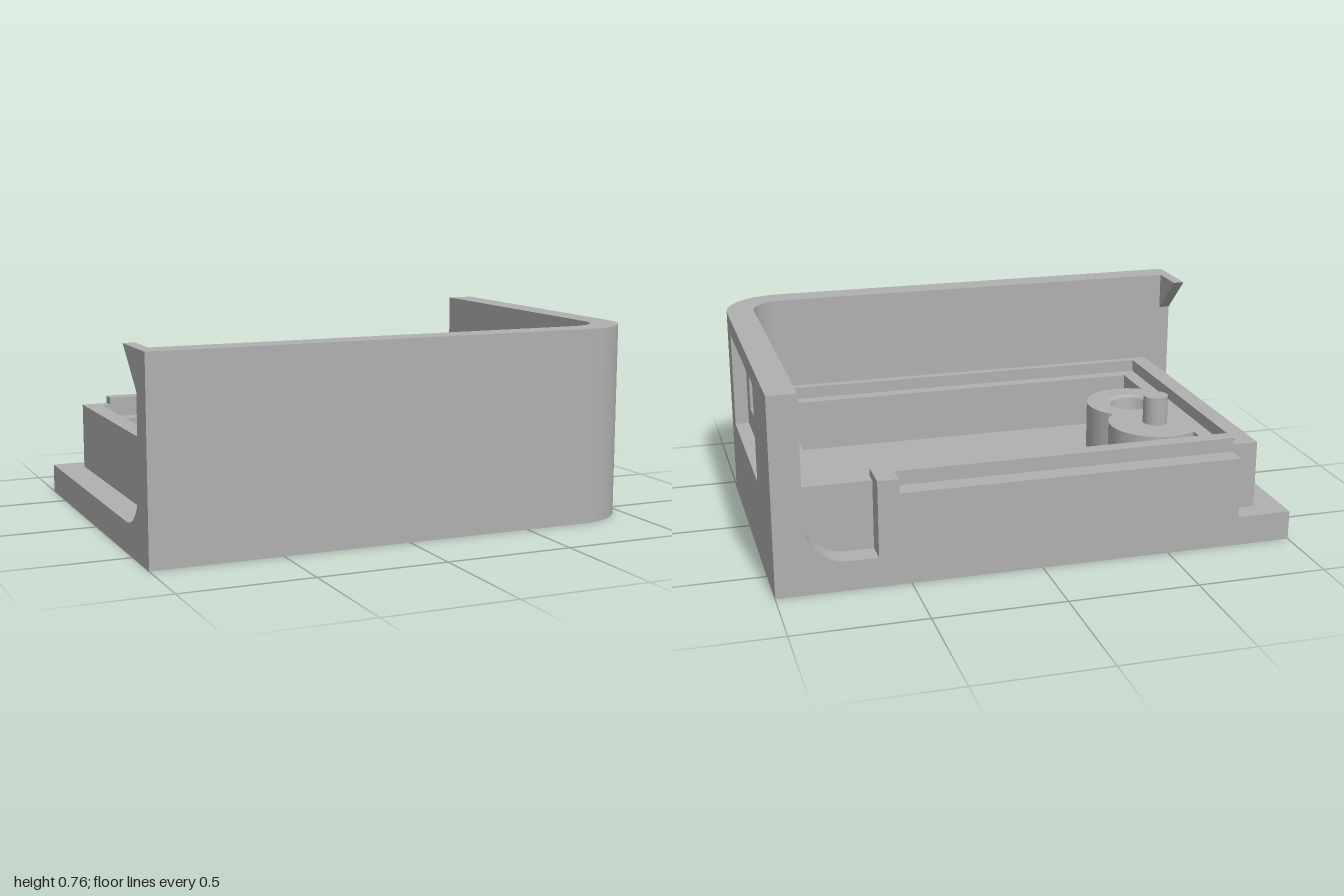
import * as THREE from 'three';
import { toCreasedNormals } from 'three/addons/utils/BufferGeometryUtils.js';

const PI = Math.PI;

export function createModel() {
  const model = new THREE.Group();
  model.name = 'enclosureHalf';
  const grey = new THREE.MeshStandardMaterial({ color: 0xb0b0b0 });
  grey.name = 'grey plastic';

  const add = (name, geo) => {
    const mesh = new THREE.Mesh(geo, grey);
    mesh.name = name;
    model.add(mesh);
    return mesh;
  };
  const extrude = (shape, depth) => toCreasedNormals(
    new THREE.ExtrudeGeometry(shape, { depth, bevelEnabled: false, curveSegments: 32 }), 0.5);
  // Shape in (x, -z), raised from y0 to y1
  const plan = (name, shape, y0, y1) =>
    add(name, extrude(shape, y1 - y0).rotateX(-PI / 2).translate(0, y0, 0));
  // Shape in (-z, y), extruded from x0 to x1
  const side = (name, shape, x0, x1) =>
    add(name, extrude(shape, x1 - x0).rotateY(PI / 2).translate(x0, 0, 0));
  const box = (name, x0, x1, y0, y1, z0, z1) =>
    add(name, new THREE.BoxGeometry(x1 - x0, y1 - y0, z1 - z0)
      .translate((x0 + x1) / 2, (y0 + y1) / 2, (z0 + z1) / 2));
  const rect = (x0, y0, x1, y1) => new THREE.Shape([
    new THREE.Vector2(x0, y0), new THREE.Vector2(x1, y0),
    new THREE.Vector2(x1, y1), new THREE.Vector2(x0, y1)]);

  const floorY = 0.115, stepY = 0.33, rimY = 0.38, top = 0.76;

  // Base plate with one rounded corner
  const base = new THREE.Shape();
  base.moveTo(-1, -0.7).lineTo(0.75, -0.7);
  base.absarc(0.75, -0.45, 0.25, -PI / 2, 0, false);
  base.lineTo(1, 0.7).lineTo(-1, 0.7);
  plan('basePlate', base, 0, floorY);

  // Front wall and rounded corner
  const wall = new THREE.Shape();
  wall.moveTo(-1, -0.7).lineTo(0.75, -0.7);
  wall.absarc(0.75, -0.45, 0.25, -PI / 2, 0, false);
  wall.lineTo(0.89, -0.45);
  wall.absarc(0.75, -0.45, 0.14, 0, -PI / 2, true);
  wall.lineTo(-1, -0.59);
  plan('frontWall', wall, floorY, top);

  // Side wall in two layers: a recess outside, a smaller window inside
  const outer = rect(-0.45, floorY, 0.7, top);
  outer.holes.push(rect(-0.355, 0.31, 0.33, 0.69));
  side('sideWallRecess', outer, 0.945, 1);
  const inner = rect(-0.45, floorY, 0.7, top);
  inner.holes.push(rect(-0.27, 0.4, 0.245, 0.605));
  side('sideWallWindow', inner, 0.89, 0.945);

  // Fillets where the wall ends meet the base
  const r = 0.165;
  const fillet = new THREE.Shape();
  fillet.moveTo(0.89, floorY).lineTo(0.89, floorY + r);
  fillet.absarc(0.89 - r, floorY + r, r, 0, -PI / 2, true);
  add('backFillet', extrude(fillet, 0.1).translate(0, 0, -0.7));
  const fillet2 = new THREE.Shape();
  fillet2.moveTo(-0.59, floorY).lineTo(-0.59, floorY + r);
  fillet2.absarc(-0.59 + r, floorY + r, r, PI, 1.5 * PI, false);
  side('frontFillet', fillet2, -1, -0.88);

  // Snap catch on the end of the front wall
  side('snapCatch', new THREE.Shape([
    new THREE.Vector2(-0.59, 0.61), new THREE.Vector2(-0.43, top),
    new THREE.Vector2(-0.59, top)]), -1, -0.955);

  // Tray: the cavity outline leaves two joined bosses standing
  const bx = -0.655, bossR = 0.19, holeZ = 0.13, pegZ = -0.14;
  const a = Math.acos(-0.105 / bossR), b = Math.asin(0.135 / bossR);
  const cavity = new THREE.Path();
  cavity.moveTo(-0.76, 0.5).lineTo(0.79, 0.5).lineTo(0.79, -0.5).lineTo(-0.76, -0.5);
  cavity.absarc(bx, -holeZ, bossR, -a, b, false);
  cavity.absarc(bx, -pegZ, bossR, -b, a, false);
  const bore = new THREE.Path();
  bore.absarc(bx, -holeZ, 0.105, 0, 2 * PI, false);
  const tray = rect(-0.89, -0.59, 0.89, 0.61);
  tray.holes.push(cavity, bore);
  plan('tray', tray, floorY, stepY);
  const rim = rect(-0.89, -0.59, 0.89, 0.61);
  rim.holes.push(rect(-0.82, -0.555, 0.85, 0.56));
  plan('trayRim', rim, stepY, rimY);

  // Rounded lining of the screw hole
  const profile = [new THREE.Vector2(0.088, floorY)];
  for (let i = 0; i <= 6; i++) {
    const t = i / 6 * PI / 2;
    profile.push(new THREE.Vector2(0.105 - 0.017 * Math.cos(t), stepY - 0.017 + 0.017 * Math.sin(t)));
  }
  // Reversed so that the lining faces the axis
  add('screwHole', toCreasedNormals(new THREE.LatheGeometry(profile.reverse(), 48), 0.5)
    .translate(bx, 0, holeZ));

  // Locating peg
  add('peg', new THREE.CylinderGeometry(0.05, 0.05, 0.445 - stepY, 40)
    .translate(bx, (0.445 + stepY) / 2, pegZ));

  // Back ledge with raised lip and end stop
  box('backLedge', -0.785, 0.62, floorY, 0.355, -0.7, -0.6);
  box('backLip', -0.785, 0.62, 0.355, 0.41, -0.62, -0.56);
  box('lipEndStop', 0.54, 0.62, 0.355, 0.41, -0.7, -0.62);

  return model;
}
